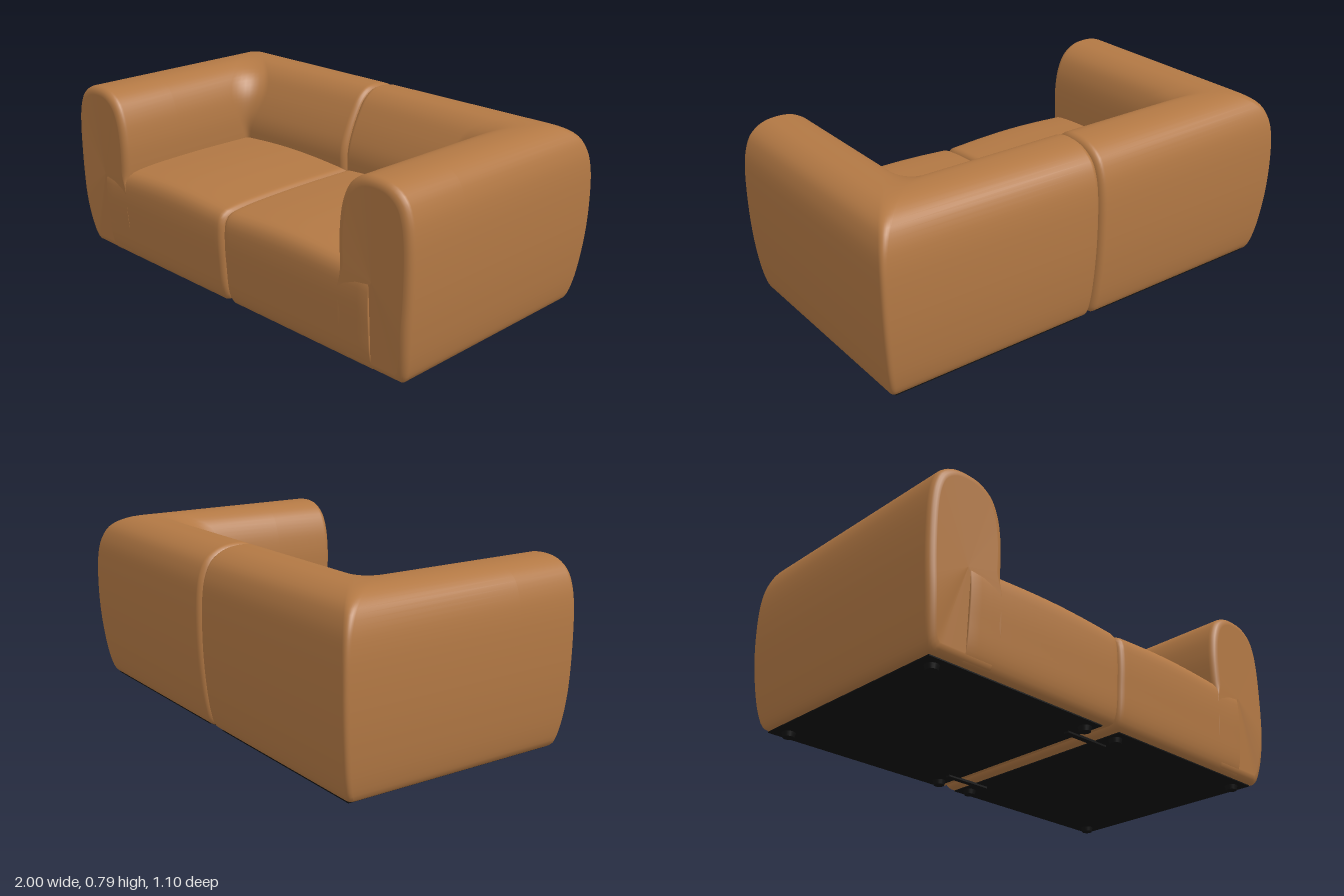
import * as THREE from 'three';

const leather = new THREE.MeshStandardMaterial({ color: 0xb27844 });
leather.name = 'tan leather';
const black = new THREE.MeshStandardMaterial({ color: 0x111111 });
black.name = 'black underside';

const FLOOR = 0.025; // underside of the padding
const { smoothstep, clamp } = THREE.MathUtils;

// Smooth closed outline sampled from a few points, flat underneath
function outline(points, count) {
  const curve = new THREE.CatmullRomCurve3(points.map(([a, b]) => new THREE.Vector3(a, b, 0)), true);
  return curve.getSpacedPoints(count).slice(0, count).map(p => [p.x, Math.max(FLOOR, p.y)]);
}

// Skin a row of rings, close both ends, and face the surface outward
function loft(rings) {
  const n = rings[0].length, pos = [], idx = [];
  const capped = ring => {
    const c = ring.reduce((s, p) => s.add(p), new THREE.Vector3()).divideScalar(n);
    return [ring.map(() => c), ring.map(p => p.clone().lerp(c, 0.015))];
  };
  const end = capped(rings[rings.length - 1]);
  const all = [...capped(rings[0]), ...rings, end[1], end[0]];
  all.forEach(ring => ring.forEach(p => pos.push(p.x, p.y, p.z)));
  let volume = 0;
  const at = i => new THREE.Vector3().fromArray(pos, i * 3);
  const tri = (a, b, c) => {
    idx.push(a, b, c);
    volume += at(a).dot(at(b).cross(at(c)));
  };
  for (let r = 0; r < all.length - 1; r++) {
    for (let i = 0; i < n; i++) {
      const j = (i + 1) % n, a = r * n + i, b = r * n + j, c = a + n, d = b + n;
      if (r > 0) tri(a, b, c);
      if (r < all.length - 2) tri(b, d, c);
    }
  }
  if (volume < 0) idx.reverse();
  const geo = new THREE.BufferGeometry();
  geo.setAttribute('position', new THREE.Float32BufferAttribute(pos, 3));
  geo.setIndex(idx);
  geo.computeVertexNormals();
  return geo;
}

// The front face curves in toward the floor
function tuckFront(p) {
  const low = Math.max(0, 0.3 - p.y) / 0.28;
  if (p.z > 0) p.z -= 0.032 * low * low * Math.pow(p.z / 0.55, 4);
  return p;
}

// Rounded end: distance from the end and inset of the outline
const roundEnd = radius => [0, 1, 2, 3, 4, 5].map(i => {
  const a = i / 5 * Math.PI / 2;
  return { along: radius * (1 - Math.cos(a)), inset: radius * (1 - Math.sin(a)) };
});

const shrink = ([a, b], [ca, cb], [ha, hb], inset) =>
  [ca + (a - ca) * (1 - inset / ha), cb + (b - cb) * (1 - inset / hb)];

// Arm and back: one padded profile swept round the corner
function armAndBackGeometry() {
  const profile = outline([
    [0.06, 0.024], [0.045, 0.04], [0.028, 0.1], [0.009, 0.25], [0, 0.42], [0.004, 0.6], [0.018, 0.68],
    [0.045, 0.737], [0.1, 0.775], [0.17, 0.786], [0.24, 0.777], [0.3, 0.738], [0.335, 0.67],
    [0.352, 0.57], [0.352, 0.45], [0.345, 0.36], [0.34, 0.05], [0.32, 0.024],
  ], 100);
  const inset = e => profile.map(p => shrink(p, [0.175, 0.4], [0.175, 0.385], e));
  // Low on the inner side the arm front stays flush with the seat front
  const insetArm = e => inset(e).map(([d, y], i) => {
    const flush = profile[i][0] > 0.2 ? 1 - smoothstep(y, 0.33, 0.43) : 0;
    return [d + (profile[i][0] - d) * flush, y];
  });
  const backZ = (d, y, lean) => {
    const side = clamp((d - 0.17) / 0.18, 0, 1);
    return -0.553 + 1.13 * d - lean * 0.06 * smoothstep(y, 0.48, 0.78) * side;
  };
  const rings = [];
  roundEnd(0.03).forEach(({ along, inset: e }) => rings.push(
    insetArm(e).map(([d, y]) => tuckFront(new THREE.Vector3(0.998 - d, y, 0.549 - along)))));
  rings.push(profile.map(([d, y]) => tuckFront(new THREE.Vector3(0.998 - d, y, 0.25))));
  // Corner, tight outside and at the seat, softer higher up inside
  for (let j = 0; j <= 8; j++) {
    const t = j / 8;
    rings.push(profile.map(([d, y]) => {
      const r = 0.022 + 0.25 * d * smoothstep(y, 0.44, 0.72);
      return new THREE.Vector3(0.998 - d - r * t * t, y, backZ(d, y, t) + r * (1 - t) * (1 - t));
    }));
  }
  roundEnd(0.028).reverse().forEach(({ along, inset: e }) => rings.push(
    inset(e).map(([d, y]) => new THREE.Vector3(0.001 + along, y, backZ(d, y, 1)))));
  return loft(rings);
}

// Seat: crowned block running under the arm and back
function seatGeometry() {
  const profile = outline([
    [0.548, 0.05], [0.548, 0.2], [0.548, 0.35], [0.541, 0.392], [0.52, 0.418], [0.46, 0.431],
    [0.2, 0.442], [-0.15, 0.44], [-0.43, 0.435], [-0.46, 0.4], [-0.46, 0.06], [-0.43, 0.024],
    [0.2, 0.024], [0.53, 0.024],
  ], 120);
  const ring = (x, e) => profile.map(p => {
    const [z, y] = shrink(p, [0.045, 0.24], [0.505, 0.215], e);
    const crown = 0.017 * Math.sin(Math.PI * Math.min(1, x / 0.68)) * clamp((y - 0.3) / 0.14, 0, 1);
    return tuckFront(new THREE.Vector3(x, y + crown, z));
  });
  const rings = roundEnd(0.028).map(({ along, inset }) => ring(0.001 + along, inset));
  for (let i = 1; i <= 16; i++) rings.push(ring(0.05 * i, 0));
  return loft(rings);
}

function addMesh(parent, name, geometry, material, x = 0, y = 0, z = 0) {
  const mesh = new THREE.Mesh(geometry, material);
  mesh.name = name;
  mesh.position.set(x, y, z);
  parent.add(mesh);
}

export function createModel() {
  const sofa = new THREE.Group();
  sofa.name = 'sofa';
  const armAndBack = armAndBackGeometry();
  const seat = seatGeometry();
  const panel = new THREE.BoxGeometry(0.88, 0.008, 0.97);
  const foot = new THREE.CylinderGeometry(0.028, 0.023, 0.02, 20);

  // Two mirrored halves
  for (const side of [1, -1]) {
    const half = new THREE.Group();
    half.name = side > 0 ? 'leftHalf' : 'rightHalf';
    half.scale.x = side;
    addMesh(half, 'armAndBack', armAndBack, leather);
    addMesh(half, 'seat', seat, leather);
    addMesh(half, 'undersidePanel', panel, black, 0.49, 0.024, 0);
    for (const x of [0.09, 0.87]) {
      for (const z of [-0.43, 0.43]) addMesh(half, 'foot', foot, black, x, 0.01, z);
    }
    sofa.add(half);
  }

  // Brackets joining the halves
  for (const z of [-0.35, 0.35]) {
    addMesh(sofa, 'joiningBracket', new THREE.BoxGeometry(0.22, 0.01, 0.025), black, 0, 0.017, z);
  }
  return sofa;
}
